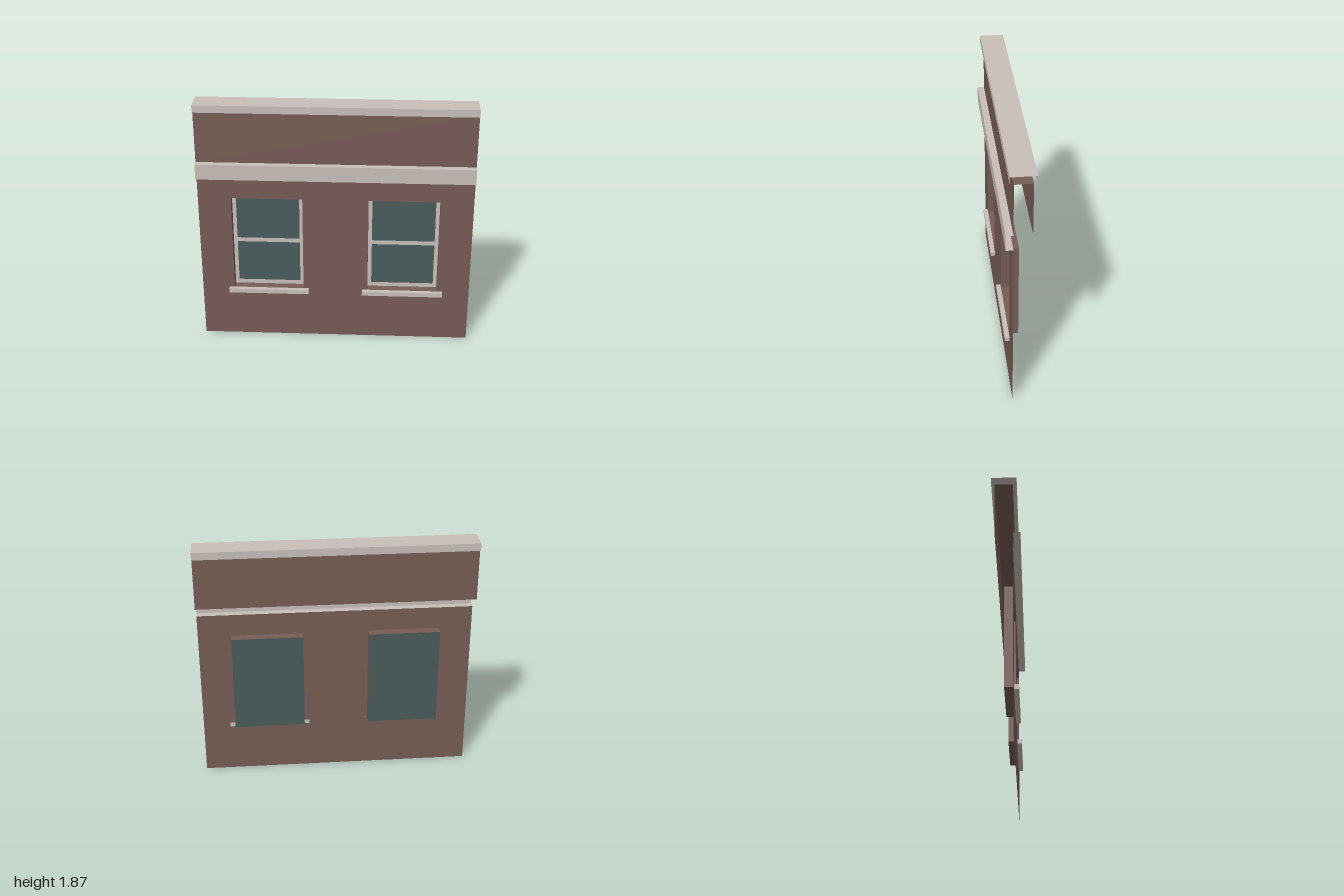
import * as THREE from 'three';

const makeMaterial = (name, color) => {
  const m = new THREE.MeshStandardMaterial({ color, side: THREE.DoubleSide });
  m.name = name;
  return m;
};

// Sweeps an open profile of [x, y, z] points along a vector, one flat face per segment.
function sweep(points, [dx, dy, dz]) {
  const pos = [];
  for (let i = 0; i < points.length - 1; i++) {
    const a = points[i], b = points[i + 1];
    const c = [b[0] + dx, b[1] + dy, b[2] + dz];
    const d = [a[0] + dx, a[1] + dy, a[2] + dz];
    pos.push(...a, ...b, ...c, ...a, ...c, ...d);
  }
  const geo = new THREE.BufferGeometry();
  geo.setAttribute('position', new THREE.Float32BufferAttribute(pos, 3));
  geo.computeVertexNormals();
  return geo;
}

// Rectangle outline, usable as a shape or as a hole.
function rect(Type, x0, y0, x1, y1) {
  return new Type([[x0, y0], [x1, y0], [x1, y1], [x0, y1]].map(p => new THREE.Vector2(...p)));
}

export function createModel() {
  const brick = makeMaterial('brick brown', 0x775c55);
  const trim = makeMaterial('pale stone trim', 0xc9bfb8);
  const glass = makeMaterial('dark glass', 0x4a5b5b);

  const wallZ = 0.05, glassZ = -0.016;
  const bandY0 = 1.315, bandY1 = 1.43, parapetY = 1.815, topY = 1.87;
  const win = { w: 0.26, y0: 0.405, y1: 1.148 };

  const group = new THREE.Group();
  const add = (parent, name, geo, mat, x = 0, y = 0, z = 0) => {
    const mesh = new THREE.Mesh(geo, mat);
    mesh.name = name;
    mesh.position.set(x, y, z);
    parent.add(mesh);
    return mesh;
  };
  // Full-width open strip from a [z, y] profile, running from front to back.
  const strip = (name, profile, mat) =>
    add(group, name, sweep(profile.map(([z, y]) => [-1, y, z]), [2, 0, 0]), mat);

  // Main wall sheet with two window openings
  const wall = rect(THREE.Shape, -1, 0, 1, bandY0);
  for (const cx of [-0.5, 0.5]) {
    wall.holes.push(rect(THREE.Path, cx - win.w, win.y0, cx + win.w, win.y1));
  }
  add(group, 'mainWall', new THREE.ShapeGeometry(wall), brick, 0, 0, wallZ);

  // Band, parapet and coping, all open at the ends
  strip('band', [[wallZ, bandY0], [0.1, bandY0], [0.1, bandY1], [wallZ, bandY1]], trim);
  strip('parapet', [[wallZ, bandY1], [wallZ, parapetY], [-0.075, parapetY], [-0.075, bandY1]], brick);
  strip('coping', [[0.075, parapetY], [0.075, topY], [-0.1, topY], [-0.1, parapetY]], trim);

  // Windows: reveal, glass, sash frame and sill
  const { w, y0, y1 } = win;
  const sash = rect(THREE.Shape, -w, y0, w, y1);
  sash.holes.push(
    rect(THREE.Path, -0.232, 0.438, 0.232, 0.762),
    rect(THREE.Path, -0.232, 0.795, 0.232, 1.12));
  const outline = [[-w, y0], [w, y0], [w, y1], [-w, y1], [-w, y0]];

  for (const [side, cx] of [['right', -0.5], ['left', 0.5]]) {
    const window = new THREE.Group();
    window.name = side + 'Window';
    window.position.x = cx;
    group.add(window);
    add(window, 'reveal', sweep(outline.map(([x, y]) => [x, y, glassZ]), [0, 0, wallZ - glassZ]), brick);
    add(window, 'glass', new THREE.PlaneGeometry(2 * w, y1 - y0), glass, 0, (y0 + y1) / 2, glassZ);
    add(window, 'sashFrame', new THREE.ShapeGeometry(sash), trim, 0, 0, glassZ + 0.003);
    add(window, 'sill', new THREE.BoxGeometry(0.6, 0.033, 0.033), trim, 0, 0.389, wallZ + 0.0165);
  }
  return group;
}
